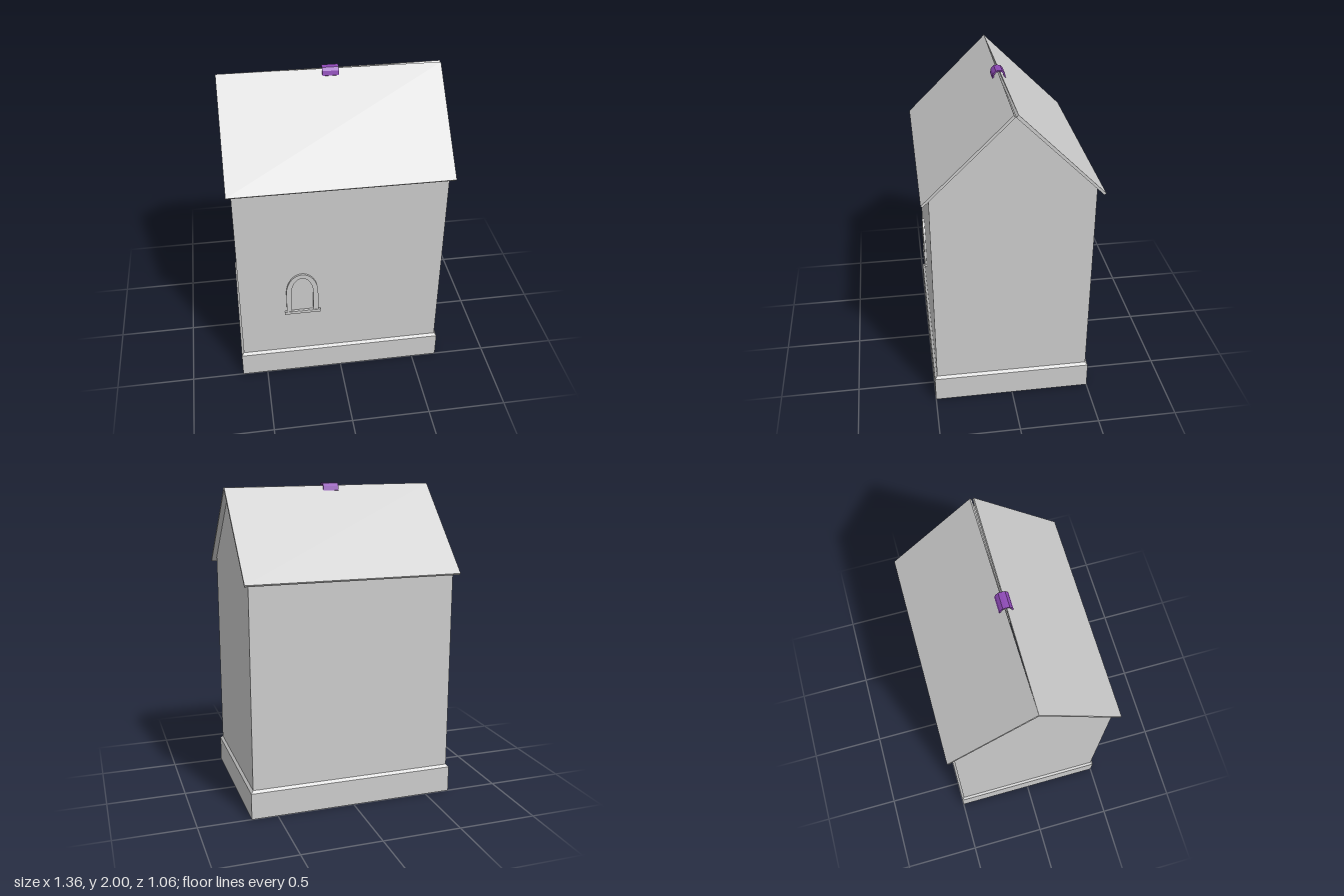
import * as THREE from 'three';

const stone = new THREE.MeshStandardMaterial({ color: 0xcccccc, side: THREE.DoubleSide });
stone.name = 'paleStone';
const purple = new THREE.MeshStandardMaterial({ color: 0x8c48b4, side: THREE.DoubleSide });
purple.name = 'purple';

// Flat-faced geometry from convex polygons, each split into a fan
function facesGeometry(polys) {
  const pos = [];
  for (const p of polys)
    for (let i = 1; i < p.length - 1; i++) pos.push(...p[0], ...p[i], ...p[i + 1]);
  const g = new THREE.BufferGeometry();
  g.setAttribute('position', new THREE.Float32BufferAttribute(pos, 3));
  g.computeVertexNormals();
  return g;
}

// Quads joining two closed rings of points
const band = (a, b) => a.map((p, i) => {
  const j = (i + 1) % a.length;
  return [p, a[j], b[j], b[i]];
});

// Counter-clockwise rectangle seen from above's underside: front edge first
const rect = (x, z, y) => [[-x, y, z], [x, y, z], [x, y, -z], [-x, y, -z]];

// Arched outline centred on x = 0
function arch(path, w, bottom, spring, rise) {
  path.moveTo(-w, bottom);
  path.lineTo(w, bottom);
  path.lineTo(w, spring);
  path.absellipse(0, spring, w, rise, 0, Math.PI, false);
  path.lineTo(-w, bottom);
  return path;
}

export function createModel() {
  const model = new THREE.Group();
  model.name = 'house';
  const add = (name, geo, mat, parent = model) => {
    const m = new THREE.Mesh(geo, mat);
    m.name = name;
    parent.add(m);
    return m;
  };

  // Open plinth with a chamfered top edge
  const W = 0.65, D = 0.486, EAVE = 1.484, APEX = 1.962;
  const foot = rect(0.665, 0.501, 0), lip = rect(0.665, 0.501, 0.168), wallFoot = rect(W, D, 0.184);
  add('plinth', facesGeometry([...band(foot, lip), ...band(lip, wallFoot)]), stone);

  // Hollow walls with a gable at each end
  add('walls', facesGeometry([
    ...band(wallFoot, rect(W, D, EAVE)),
    [[W, EAVE, D], [W, EAVE, -D], [W, APEX, 0]],
    [[-W, EAVE, -D], [-W, EAVE, D], [-W, APEX, 0]],
  ]), stone);

  // Two thin roof slabs, their ridge edges parting slightly towards +x
  for (const s of [1, -1]) {
    const section = (x, gap, ridge) => [
      [x, 1.463, s * 0.532], [x, ridge, s * gap],
      [x, 1.964, s * gap * 0.2], [x, 1.452, s * 0.522],
    ];
    const a = section(-0.68, 0, 1.987), b = section(0.68, s > 0 ? 0.009 : 0.015, 1.98);
    const polys = [...band(a, b), [...a].reverse(), b];
    if (s < 0) polys.forEach((p) => p.reverse());
    add(s > 0 ? 'frontRoof' : 'backRoof', facesGeometry(polys), stone);
  }

  // Arched window frame and sill
  const win = new THREE.Group();
  win.name = 'window';
  win.position.set(-0.25, 0, D);
  model.add(win);
  const frame = arch(new THREE.Shape(), 0.102, 0.52, 0.67, 0.15);
  frame.holes.push(arch(new THREE.Path(), 0.07, 0.523, 0.67, 0.121));
  add('windowFrame', new THREE.ExtrudeGeometry(frame, { depth: 0.013, bevelEnabled: false, curveSegments: 14 }), stone, win);
  const sill = add('windowSill', new THREE.BoxGeometry(0.232, 0.02, 0.016), stone, win);
  sill.position.set(0, 0.512, 0.008);

  // Faceted cap bent over the middle of the ridge
  const outer = [[-0.042, 1.953], [-0.036, 1.98], [-0.02, 1.997], [0, 2], [0.02, 1.997], [0.036, 1.98], [0.042, 1.953]];
  const inner = outer.map(([z, y]) => [z * 0.8, y - 0.008]).reverse();
  const cap = new THREE.Shape([...outer, ...inner].map(([z, y]) => new THREE.Vector2(z, y)));
  const capGeo = new THREE.ExtrudeGeometry(cap, { depth: 0.1, bevelEnabled: false });
  capGeo.translate(0, 0, -0.05).rotateY(Math.PI / 2);
  add('ridgeCap', capGeo, purple);

  return model;
}
